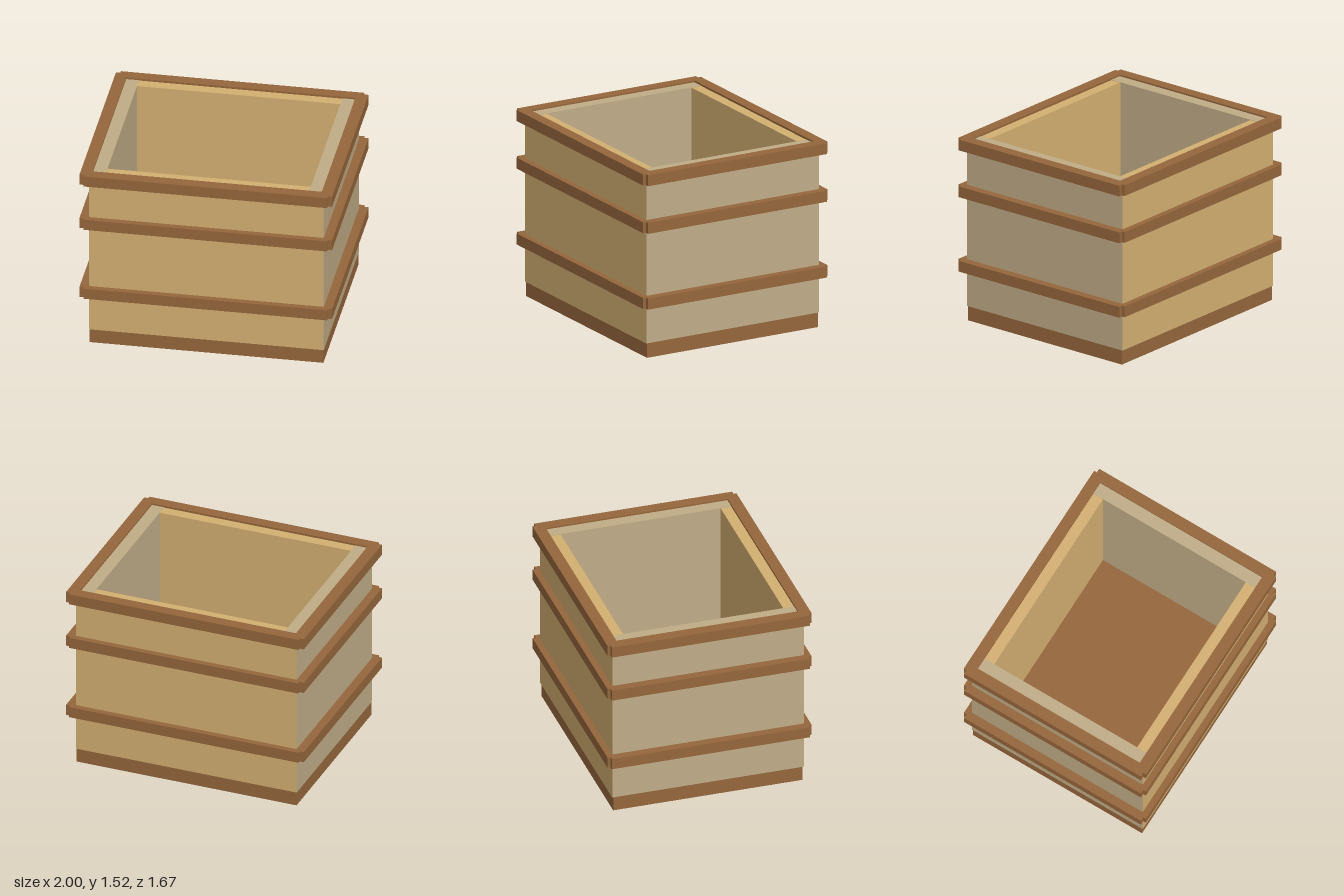
import * as THREE from 'three';

const brown = new THREE.MeshStandardMaterial({ color: 0x95663b });
const tan = new THREE.MeshStandardMaterial({ color: 0xd3af71 });
const greyTan = new THREE.MeshStandardMaterial({ color: 0xc0ac87 });

export function createModel() {
  const model = new THREE.Group();

  const box = (name, material, size, position) => {
    const mesh = new THREE.Mesh(new THREE.BoxGeometry(...size), material);
    mesh.name = name;
    mesh.position.set(...position);
    model.add(mesh);
  };

  // Solid base, its top is the inside floor
  box('base', brown, [1.85, 0.12, 1.55], [0, 0.06, 0]);

  // Panels; the side panels stand a hair taller so they cover the corners
  for (const s of [1, -1]) {
    box(s > 0 ? 'frontPanel' : 'backPanel', tan, [1.85, 1.384, 0.13], [0, 0.812, s * 0.72]);
    box(s > 0 ? 'leftPanel' : 'rightPanel', greyTan, [0.125, 1.387, 1.56], [s * 0.8675, 0.8135, 0]);
  }

  // Band outline: rectangle with a small notch at each corner, open in the middle
  const X = 1, Z = 0.835, nx = 0.965, nz = 0.81;
  const outline = new THREE.Shape([
    [nx, -Z], [nx, -nz], [X, -nz], [X, nz], [nx, nz], [nx, Z],
    [-nx, Z], [-nx, nz], [-X, nz], [-X, -nz], [-nx, -nz], [-nx, -Z],
  ].map(([x, z]) => new THREE.Vector2(x, z)));
  const ix = 0.907, iz = 0.743;
  outline.holes.push(new THREE.Path(
    [[-ix, -iz], [-ix, iz], [ix, iz], [ix, -iz]].map(([x, z]) => new THREE.Vector2(x, z))));
  const bandGeometry = new THREE.ExtrudeGeometry(outline, { depth: 0.09, bevelEnabled: false });
  bandGeometry.rotateX(-Math.PI / 2);

  // Two bands around the body and the rim
  for (const [name, y] of [['lowerBand', 0.42], ['upperBand', 1.04], ['rim', 1.43]]) {
    const band = new THREE.Mesh(bandGeometry, brown);
    band.name = name;
    band.position.y = y;
    model.add(band);
  }

  return model;
}
